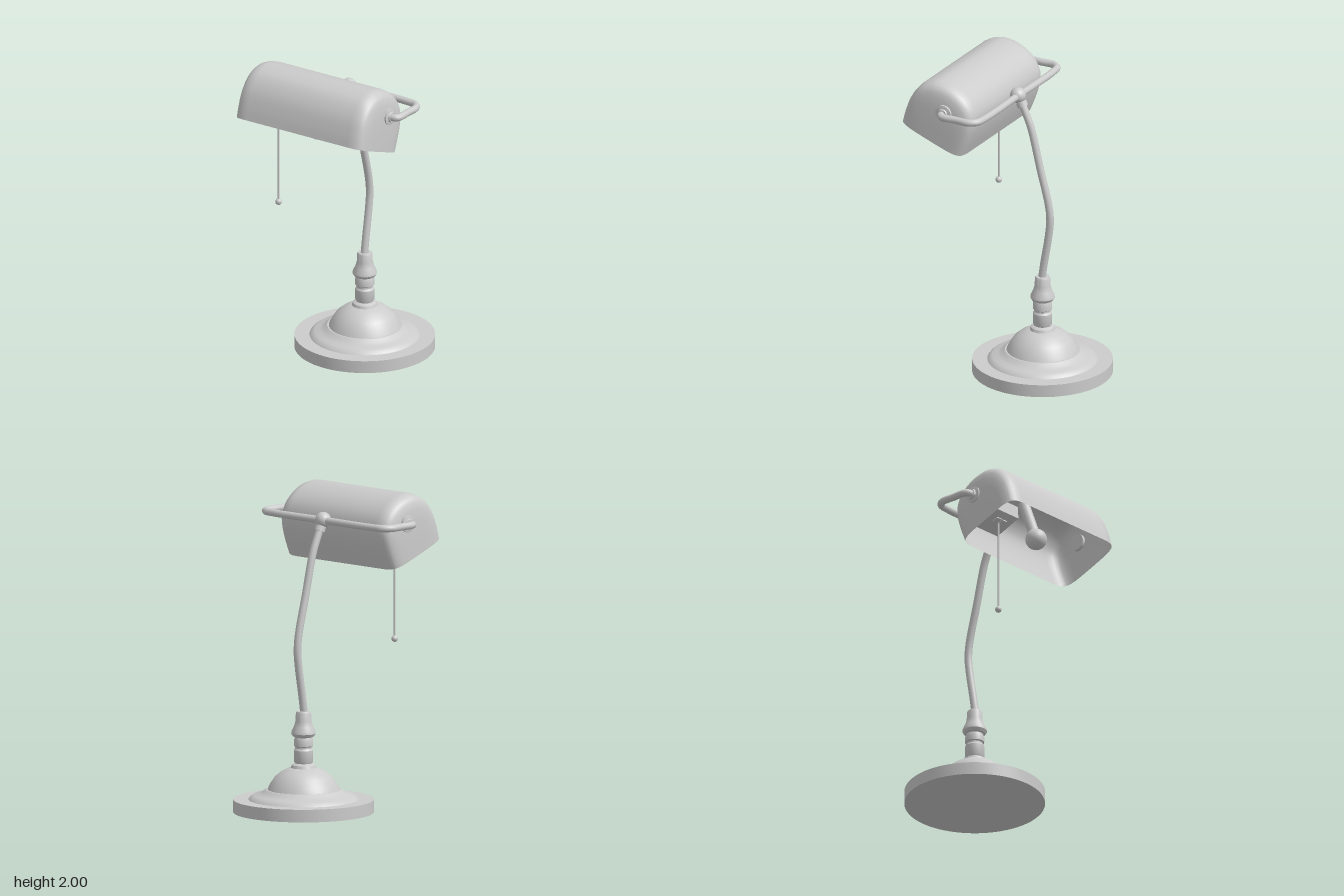
import * as THREE from 'three';
import { toCreasedNormals } from 'three/addons/utils/BufferGeometryUtils.js';

const metal = new THREE.MeshStandardMaterial({ color: 0xcccccc });
const thin = new THREE.MeshStandardMaterial({ color: 0xcccccc, side: THREE.DoubleSide });

function add(parent, name, geometry, x = 0, y = 0, z = 0, material = metal) {
  const mesh = new THREE.Mesh(geometry, material);
  mesh.name = name;
  mesh.position.set(x, y, z);
  parent.add(mesh);
  return mesh;
}

function lathe(points, segments = 48) {
  const profile = points.map(([r, y]) => new THREE.Vector2(r, y));
  return toCreasedNormals(new THREE.LatheGeometry(profile, segments), 0.5);
}

function curve(points) {
  return new THREE.CatmullRomCurve3(points.map((p) => new THREE.Vector3(...p)), false, 'centripetal');
}

// Open hood: one arched outline, shrunk toward the opening's centre at both rounded ends
function shadeGeometry() {
  const outline = curve([
    [0, 1.703, 0.6], [0, 1.782, 0.578], [0, 1.883, 0.536], [0, 1.963, 0.467], [0, 1.995, 0.393],
    [0, 2.0, 0.34], [0, 1.984, 0.26], [0, 1.942, 0.18], [0, 1.883, 0.122], [0, 1.809, 0.092],
    [0, 1.74, 0.095], [0, 1.645, 0.122], [0, 1.538, 0.165],
  ]).getPoints(40);
  const centre = new THREE.Vector3(0, 1.62, 0.3825);
  const half = [[0.38, 1], [0.41, 0.99], [0.437, 0.965], [0.457, 0.92], [0.469, 0.86],
    [0.478, 0.76], [0.485, 0.6], [0.487, 0.3], [0.487, 0]];
  const rows = [...half.map(([x, s]) => [-x, s]).reverse(), ...half];
  const positions = [], index = [], n = outline.length;
  rows.forEach(([x, s], i) => {
    outline.forEach((p, j) => {
      const q = centre.clone().lerp(p, s);
      positions.push(x, q.y, q.z);
      if (i < rows.length - 1 && j < n - 1) {
        const a = i * n + j, b = a + n;
        index.push(a, b, a + 1, b, b + 1, a + 1);
      }
    });
  });
  const g = new THREE.BufferGeometry();
  g.setAttribute('position', new THREE.Float32BufferAttribute(positions, 3));
  g.setIndex(index);
  g.computeVertexNormals();
  return g;
}

export function createModel() {
  const lamp = new THREE.Group();
  lamp.name = 'deskLamp';
  const baseZ = -0.16, tilt = -0.363;

  // Stepped round foot with dome
  add(lamp, 'base', lathe([
    [0, 0], [0.44, 0], [0.44, 0.08], [0.345, 0.08], [0.335, 0.092], [0.313, 0.107], [0.28, 0.112],
    [0.255, 0.128], [0.235, 0.143], [0.225, 0.143], [0.21, 0.175], [0.18, 0.22], [0.14, 0.253],
    [0.1, 0.274], [0.08, 0.28], [0.074, 0.297], [0.055, 0.308], [0, 0.312],
  ], 64), 0, 0, baseZ);

  // Turned stem
  add(lamp, 'stem', lathe([
    [0.05, 0.3], [0.06, 0.32], [0.06, 0.39], [0.052, 0.402], [0.052, 0.412], [0.06, 0.418],
    [0.06, 0.455], [0.054, 0.472], [0.066, 0.478], [0.077, 0.495], [0.075, 0.51], [0.06, 0.54],
    [0.05, 0.575], [0.048, 0.625], [0.043, 0.635], [0, 0.635],
  ], 32), 0, 0, baseZ);

  // Bent arm, collar and joint
  const armPath = curve([
    [0, 0.6, -0.152], [0, 0.72, -0.17], [0, 0.92, -0.204], [0, 1.02, -0.214], [0, 1.12, -0.204],
    [0, 1.36, -0.143], [0, 1.62, -0.078], [0, 1.7, -0.046], [0, 1.82, 0.01],
  ]);
  add(lamp, 'arm', new THREE.TubeGeometry(armPath, 60, 0.024, 16));
  const collar = add(lamp, 'collar', new THREE.CylinderGeometry(0.034, 0.034, 0.035, 24), 0, 1.772, -0.012);
  collar.rotation.x = 0.43;
  add(lamp, 'jointBall', new THREE.SphereGeometry(0.05, 24, 16), 0, 1.825, 0.016);

  // Yoke that carries the shade at both ends
  const side = [[0.43, 0.012], [0.51, 0.026], [0.543, 0.07], [0.543, 0.16], [0.543, 0.25], [0.53, 0.272], [0.485, 0.28]];
  const yokePath = curve([
    ...side.map(([x, z]) => [-x, 1.823, z]).reverse(), [0, 1.823, 0.012],
    ...side.map(([x, z]) => [x, 1.823, z]),
  ]);
  add(lamp, 'yoke', new THREE.TubeGeometry(yokePath, 120, 0.023, 12));
  for (const s of [-1, 1]) {
    const pivot = add(lamp, 'shadePivot', lathe([
      [0, -0.02], [0.054, -0.02], [0.054, 0.008], [0.034, 0.012], [0.03, 0.022], [0, 0.022],
    ], 24), s * 0.486, 1.823, 0.275);
    pivot.rotation.z = -s * Math.PI / 2;
  }

  add(lamp, 'shade', shadeGeometry(), 0, 0, 0, thin);

  // Bulb and its socket under the shade
  add(lamp, 'bulb', new THREE.SphereGeometry(0.068, 24, 16), 0, 1.655, 0.362);
  const socket = add(lamp, 'bulbSocket', new THREE.CylinderGeometry(0.035, 0.035, 0.24, 20), 0, 1.817, 0.3);
  socket.rotation.x = tilt;

  // Switch box with slotted plate, tilted with the shade
  const box = new THREE.Group();
  box.name = 'switchBox';
  box.position.set(-0.32, 1.67, 0.33);
  box.rotation.x = tilt;
  lamp.add(box);
  const housing = new THREE.CylinderGeometry(0.11 * Math.SQRT2, 0.095 * Math.SQRT2, 0.09, 4).toNonIndexed();
  housing.rotateY(Math.PI / 4);
  housing.computeVertexNormals();
  add(box, 'switchHousing', housing, 0, 0.045, 0);
  for (const x of [-0.025, 0.025]) {
    add(box, 'switchPlate', new THREE.BoxGeometry(0.042, 0.012, 0.04), x, -0.002, 0.02);
  }

  // Pull cord
  add(lamp, 'pullCord', new THREE.CylinderGeometry(0.006, 0.006, 0.6, 8), -0.315, 1.38, 0.332);
  add(lamp, 'pullKnob', new THREE.SphereGeometry(0.021, 16, 12), -0.315, 1.074, 0.332);

  return lamp;
}
